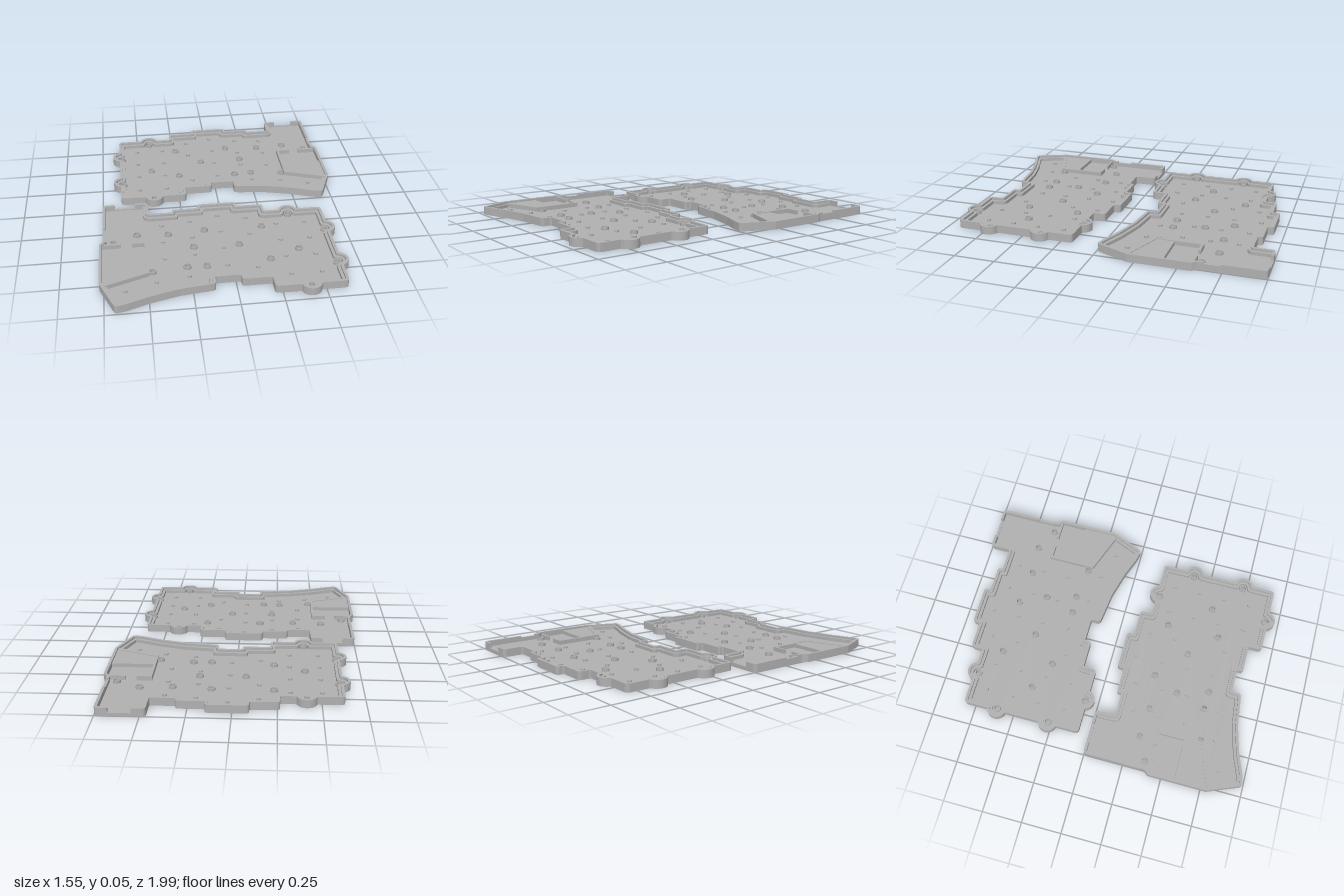
import * as THREE from 'three';

const FLOOR = 0.015, TOP = 0.05;
const grey = new THREE.MeshStandardMaterial({ color: 0xb0b0b0 });
grey.name = 'grey plastic';

// Semicircular bulge around an edge screw; dir is the outward angle
function bump(cx, cz, dir) {
  const pts = [];
  for (let i = 0; i <= 10; i++) {
    const a = dir + 1.318 * (i / 5 - 1);
    pts.push([cx + 0.06 * Math.cos(a), cz + 0.06 * Math.sin(a)]);
  }
  return pts;
}

// Plan of one half as [x, z, label], clockwise seen from above
const PLAN = [
  [-0.63, -0.82], ...bump(-0.415, -0.805, -Math.PI / 2),
  [-0.265, -0.82], [-0.265, -0.895], [-0.095, -0.895], [-0.095, -0.94],
  [0.15, -0.94], [0.15, -0.9], [0.315, -0.9], [0.315, -0.87], [0.465, -0.87],
  [0.465, -1, 'tower'], [0.545, -1, 'portA'], [0.675, -1, 'portB'], [0.75, -1],
  [0.75, -0.74, 'slotA'], [0.75, -0.64, 'slotB'], [0.75, -0.61], [0.775, -0.58],
  [0.775, -0.21, 'thumb'], [0.69, -0.003], [0.62, -0.02], [0.5, -0.065],
  [0.33, -0.11], [0.12, -0.135], [0.12, -0.195], [-0.03, -0.195],
  [-0.03, -0.155], [-0.205, -0.155], [-0.205, -0.07],
  ...bump(-0.415, -0.085, Math.PI / 2), [-0.63, -0.07],
  ...bump(-0.615, -0.275, Math.PI), ...bump(-0.615, -0.61, Math.PI),
];
const at = (label) => PLAN.findIndex((p) => p[2] === label);

const SCREWS = [
  [-0.415, -0.8], [-0.61, -0.61], [-0.61, -0.275], [-0.415, -0.085],
  [-0.415, -0.44], [-0.23, -0.695], [-0.23, -0.36], [-0.065, -0.525],
  [0.13, -0.695], [0.21, -0.53], [0.15, -0.335], [0.265, -0.34],
  [0.355, -0.675], [0.545, -0.69], [0.69, -0.62], [0.47, -0.315],
];
// Support pegs, column by column: x, then the z positions
const PEGS = [
  [-0.505, -0.715, -0.545, -0.38, -0.21], [-0.325, -0.715, -0.545, -0.38, -0.21],
  [-0.145, -0.8, -0.63, -0.295], [0.03, -0.845, -0.675, -0.505, -0.335],
  [0.21, -0.8, -0.63, -0.46], [0.39, -0.775, -0.605, -0.435],
  [0.26, -0.257], [0.45, -0.225], [0.63, -0.167],
];

// Plan moved inward by d with rounded corners: one group of points per corner
function insetPlan(d) {
  const n = PLAN.length;
  const dirs = PLAN.map((p, i) => {
    const q = PLAN[(i + 1) % n];
    return new THREE.Vector2(q[0] - p[0], q[1] - p[1]).normalize();
  });
  const pts = PLAN.map((p, i) => {
    const a = dirs[(i + n - 1) % n], b = dirs[i], k = d / (1 + a.dot(b));
    return new THREE.Vector2(p[0] - (a.y + b.y) * k, p[1] + (a.x + b.x) * k);
  });
  return pts.map((p, i) => {
    const a = dirs[(i + n - 1) % n], b = dirs[i];
    const turn = Math.atan2(a.cross(b), a.dot(b));
    if (Math.abs(turn) < 0.35) return [p];
    const r = turn > 0 ? Math.max(0.025 - d, 0.004) : 0.012 + d;
    const room = Math.min(p.distanceTo(pts[(i + n - 1) % n]), p.distanceTo(pts[(i + 1) % n]));
    const t = Math.min(r * Math.tan(Math.abs(turn) / 2), room * 0.45);
    return new THREE.QuadraticBezierCurve(
      p.clone().addScaledVector(a, -t), p, p.clone().addScaledVector(b, t)).getPoints(4);
  });
}

// Band between two inset plans, from one corner round to another
function band(outer, inner, from, to) {
  const o = [], inn = [];
  for (let i = from; ; i = (i + 1) % PLAN.length) {
    o.push(...outer[i]);
    inn.push(...inner[i]);
    if (i === to) break;
  }
  return [...o, ...inn.reverse()];
}

function buildHalf(m) {
  const half = new THREE.Group();
  const toShape = (pts) => new THREE.Shape(pts.map((p) => new THREE.Vector2(p.x * m, -p.y)));
  const poly = (list) => toShape(list.map(([x, z]) => new THREE.Vector2(x, z)));
  const circle = (Type, x, z, r) => new Type().absarc(x * m, -z, r, 0, Math.PI * 2, false);
  const add = (name, shape, y0, y1) => {
    const geo = new THREE.ExtrudeGeometry(shape, { depth: y1 - y0, bevelEnabled: false, curveSegments: 10 });
    geo.rotateX(-Math.PI / 2).translate(0, y0, 0);
    const mesh = new THREE.Mesh(geo, grey);
    mesh.name = name;
    half.add(mesh);
  };

  const outer = insetPlan(0), mid = insetPlan(0.017), inner = insetPlan(0.034);

  // Floor plate with screw holes
  const floor = toShape(outer.flat());
  SCREWS.forEach(([x, z]) => floor.holes.push(circle(THREE.Path, x, z, 0.017)));
  add('floor', floor, 0, FLOOR);

  // Outer wall, open at the port and lowered at the side slot
  const wall = (a, b) => toShape(band(outer, mid, at(a), at(b)));
  add('outerWall', wall('portB', 'portA'), FLOOR, 0.04);
  add('rimSide', wall('portB', 'slotA'), 0.04, TOP);
  add('rimMain', wall('slotB', 'portA'), 0.04, TOP);
  add('portSill', wall('portA', 'portB'), FLOOR, 0.02);

  // Lower ledge inside the wall
  add('ledge', toShape(band(mid, inner, at('thumb'), at('tower'))), FLOOR, 0.036);

  // Screw standoffs and support pegs
  SCREWS.forEach(([x, z]) => {
    const ring = circle(THREE.Shape, x, z, 0.023);
    ring.holes.push(circle(THREE.Path, x, z, 0.017));
    add('standoff', ring, FLOOR, 0.032);
  });
  PEGS.forEach(([x, ...zs]) => zs.forEach((z) =>
    add('peg', circle(THREE.Shape, x, z, 0.013), FLOOR, 0.027)));

  // Side bay: partition walls and raised shelf
  const box = (x0, z0, x1, z1) => poly([[x0, z0], [x1, z0], [x1, z1], [x0, z1]]);
  add('bayInnerWall', box(0.487, -0.59, 0.503, -0.305), FLOOR, 0.042);
  add('bayBackWall', box(0.503, -0.59, 0.58, -0.575), FLOOR, 0.042);
  add('bayBackWall', box(0.645, -0.59, 0.76, -0.575), FLOOR, 0.042);
  add('bayThumbWall', poly([[0.487, -0.305], [0.503, -0.305], [0.762, -0.212], [0.755, -0.192], [0.487, -0.288]]), FLOOR, 0.042);
  add('bayShelf', poly([[0.503, -0.415], [0.759, -0.415], [0.759, -0.213], [0.503, -0.305]]), FLOOR, 0.038);
  return half;
}

export function createModel() {
  const model = new THREE.Group();
  const back = buildHalf(1);
  back.name = 'backTray';
  const front = buildHalf(-1);
  front.name = 'frontTray';
  front.position.z = 0.997;
  model.add(back, front);
  return model;
}
